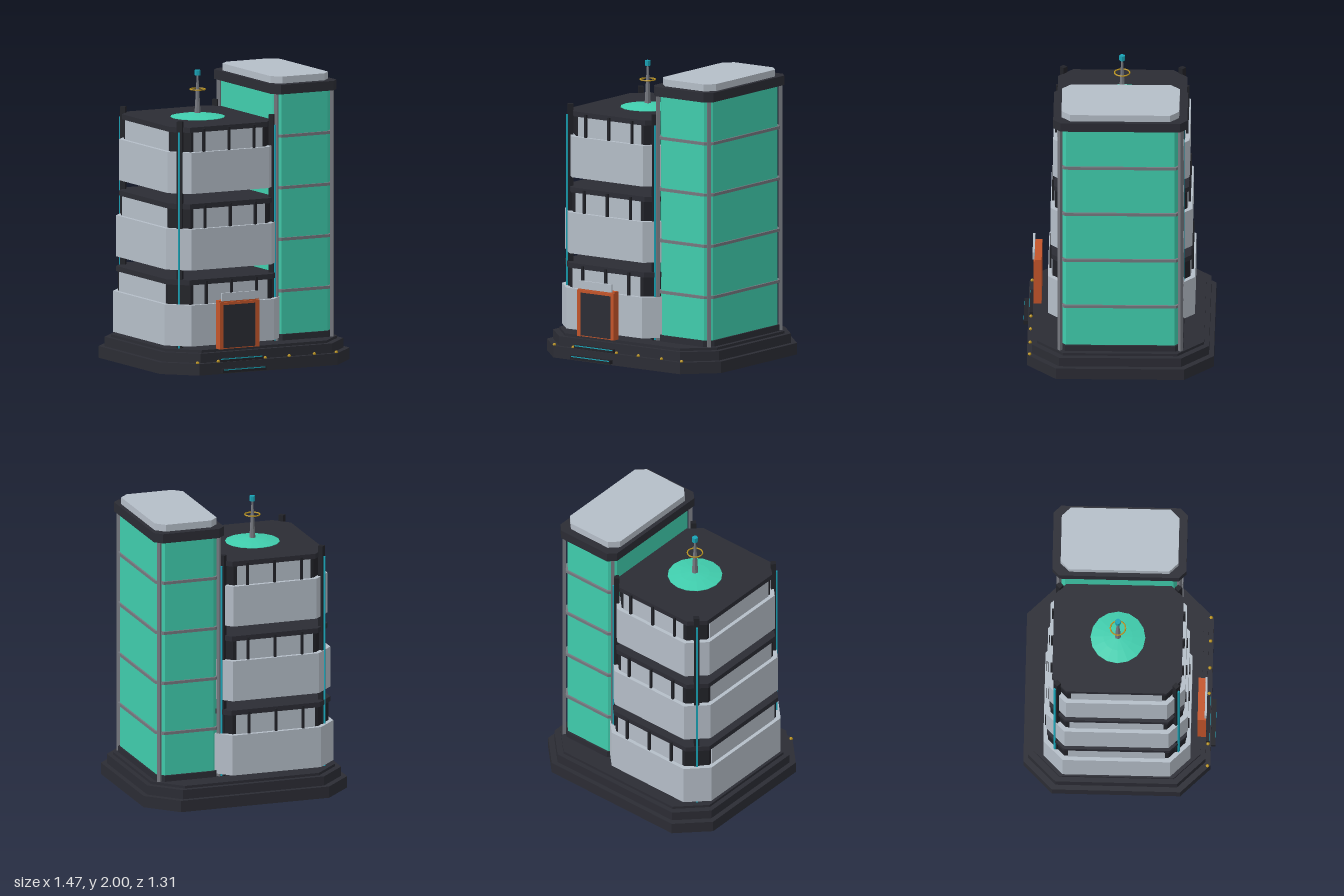
import * as THREE from 'three';

const mat = (name, color, side = THREE.FrontSide) => {
  const m = new THREE.MeshStandardMaterial({ color, side });
  m.name = name;
  m.flatShading = true;
  return m;
};

const CZ = -0.013; // depth centre of the building
const WX = -0.205; // centre of the low wing
const TX = 0.398; // centre of the glass tower

export function createModel() {
  const root = new THREE.Group();
  root.name = 'building';
  const dark = mat('charcoal', 0x2b2c34);
  const black = mat('soft black', 0x212228);
  const light = mat('pale grey', 0xb5bec8);
  const glass = mat('green glass', 0x40cdad);
  const steel = mat('steel grey', 0x75787f);
  const cyan = mat('cyan', 0x18a3b6);
  const orange = mat('orange', 0xc4552a);
  const gold = mat('gold', 0xb8921f);

  const add = (name, geo, material, x, y, z, parent = root) => {
    const mesh = new THREE.Mesh(geo, material);
    mesh.name = name;
    mesh.position.set(x, y, z);
    parent.add(mesh);
    return mesh;
  };
  // Box given by its centre in x and z and its vertical range
  const box = (name, m, x, y0, y1, z, w, d, parent) =>
    add(name, new THREE.BoxGeometry(w, y1 - y0, d), m, x, (y0 + y1) / 2, z, parent);
  // Upright block with four chamfered corners
  const block = (name, m, x, y0, y1, hx, hz, c, parent) => {
    const s = new THREE.Shape();
    s.setFromPoints([
      [hx - c, -hz], [hx, c - hz], [hx, hz - c], [hx - c, hz],
      [c - hx, hz], [-hx, hz - c], [-hx, c - hz], [c - hx, -hz],
    ].map(([a, b]) => new THREE.Vector2(a, b)));
    const g = new THREE.ExtrudeGeometry(s, { depth: y1 - y0, bevelEnabled: false });
    g.rotateX(-Math.PI / 2);
    return add(name, g, m, x, y0, CZ, parent);
  };

  // Stepped plinth
  block('plinthLower', dark, 0, 0, 0.08, 0.735, 0.637, 0.2);
  block('plinthMiddle', dark, 0, 0.08, 0.145, 0.7, 0.604, 0.19);
  block('plinthTop', dark, 0, 0.145, 0.163, 0.665, 0.57, 0.18);

  // Three floating floors of the low wing, shrinking upwards
  const floors = [
    { y: 0.182, hx: 0.455, hz: 0.501, c: 0.135 },
    { y: 0.702, hx: 0.438, hz: 0.483, c: 0.128 },
    { y: 1.226, hx: 0.42, hz: 0.465, c: 0.12 },
  ];
  for (const { y, hx, hz, c } of floors) {
    const floor = new THREE.Group();
    floor.name = 'floor';
    root.add(floor);
    const w0 = y + 0.283, w1 = y + 0.418, top = y + 0.453;
    block('parapetBand', light, WX, y, w0, hx, hz, c, floor);
    block('windowWall', black, WX, w0, w1, hx - 0.032, hz - 0.032, c - 0.02, floor);
    block('floorRoof', dark, WX, w1, top, hx - 0.02, hz - 0.024, c - 0.02, floor);
    const half = hx - c - 0.035;
    for (const s of [-1, 1]) {
      const face = CZ + s * (hz - 0.03);
      box('windowStrip', light, WX, w0, w1, face, half * 2, 0.008, floor);
      for (const i of [-1, 0, 1])
        box('mullion', black, WX + i * 0.195, w0, top - 0.012, CZ + s * (hz - 0.022), 0.016, 0.024, floor);
      box('sideWindowStrip', light, WX + s * (hx - 0.03), w0, w1, CZ, 0.008, (hz - c - 0.035) * 2, floor);
    }
  }

  // Diagonal corner columns with light strips
  for (const sx of [-1, 1]) for (const sz of [-1, 1]) {
    const turn = sx * sz * Math.PI / 4;
    box('cornerColumn', black, WX + sx * 0.356, 0.16, 1.722, CZ + sz * 0.405, 0.036, 0.036).rotation.y = turn;
    box('columnLightStrip', cyan, WX + sx * 0.372, 0.165, 1.65, CZ + sz * 0.421, 0.013, 0.013).rotation.y = turn;
  }

  // Small spikes beneath the top floor
  for (const s of [-1, 1]) {
    const spike = add('underSpike', new THREE.ConeGeometry(0.024, 0.075, 4), black, WX + s * 0.073, 1.19, CZ);
    spike.rotation.set(Math.PI, 0, s * 0.3);
  }

  // Glass tower
  block('towerBase', dark, TX, 0.163, 0.205, 0.235, 0.43, 0.055);
  block('towerGlass', glass, TX, 0.205, 1.862, 0.222, 0.415, 0.045);
  for (const y of [0.504, 0.859, 1.214, 1.569])
    block('towerRing', steel, TX, y - 0.01, y + 0.01, 0.234, 0.428, 0.048);
  for (const sx of [-1, 1]) for (const sz of [-1, 1])
    box('towerPost', steel, TX + sx * 0.216, 0.163, 1.862, CZ + sz * 0.41, 0.024, 0.024)
      .rotation.y = Math.PI / 4;
  block('towerCap', dark, TX, 1.862, 1.927, 0.253, 0.457, 0.05);
  block('towerRoofSlab', light, TX, 1.927, 1.975, 0.224, 0.401, 0.06);

  // Roof dome and antenna
  const dome = [[0.187, 0], [0.187, 0.004], [0.1, 0.019], [0, 0.03]].map(([r, y]) => new THREE.Vector2(r, y));
  add('roofDome', new THREE.LatheGeometry(dome, 16), glass, WX, 1.678, CZ);
  add('antennaMast', new THREE.CylinderGeometry(0.006, 0.022, 0.27, 8), steel, WX, 1.835, CZ);
  add('antennaRing', new THREE.TorusGeometry(0.052, 0.005, 6, 20), gold, WX, 1.868, CZ)
    .rotation.x = Math.PI / 2;
  add('antennaTip', new THREE.CylinderGeometry(0.02, 0.02, 0.036, 8), cyan, WX, 1.982, CZ);

  // Entrance portal
  const door = new THREE.Group();
  door.name = 'entrance';
  root.add(door);
  box('portalFrame', orange, -0.206, 0.163, 0.497, 0.556, 0.306, 0.046, door);
  for (const s of [-1, 1])
    box('portalJamb', orange, -0.206 + s * 0.14, 0.163, 0.485, 0.578, 0.026, 0.022, door);
  box('portalLintel', orange, -0.206, 0.467, 0.485, 0.578, 0.306, 0.022, door);
  box('doorPanel', dark, -0.206, 0.17, 0.467, 0.581, 0.254, 0.008, door);
  box('doorCanopy', light, -0.206, 0.495, 0.55, 0.588, 0.28, 0.014, door);

  // Entrance steps with light strips
  box('lowerStep', black, -0.203, 0.01, 0.036, 0.636, 0.335, 0.038);
  box('lowerStepLight', cyan, -0.203, 0.027, 0.034, 0.654, 0.32, 0.004);
  box('upperStep', black, -0.203, 0.08, 0.105, 0.6, 0.33, 0.03);
  box('upperStepLight', cyan, -0.203, 0.096, 0.103, 0.615, 0.32, 0.004);

  // Ground lamps along the front ledge
  for (const x of [-0.54, -0.38, -0.015, 0.17, 0.365, 0.535])
    add('groundLamp', new THREE.SphereGeometry(0.012, 8, 6), gold, x, 0.085, 0.605);

  return root;
}
